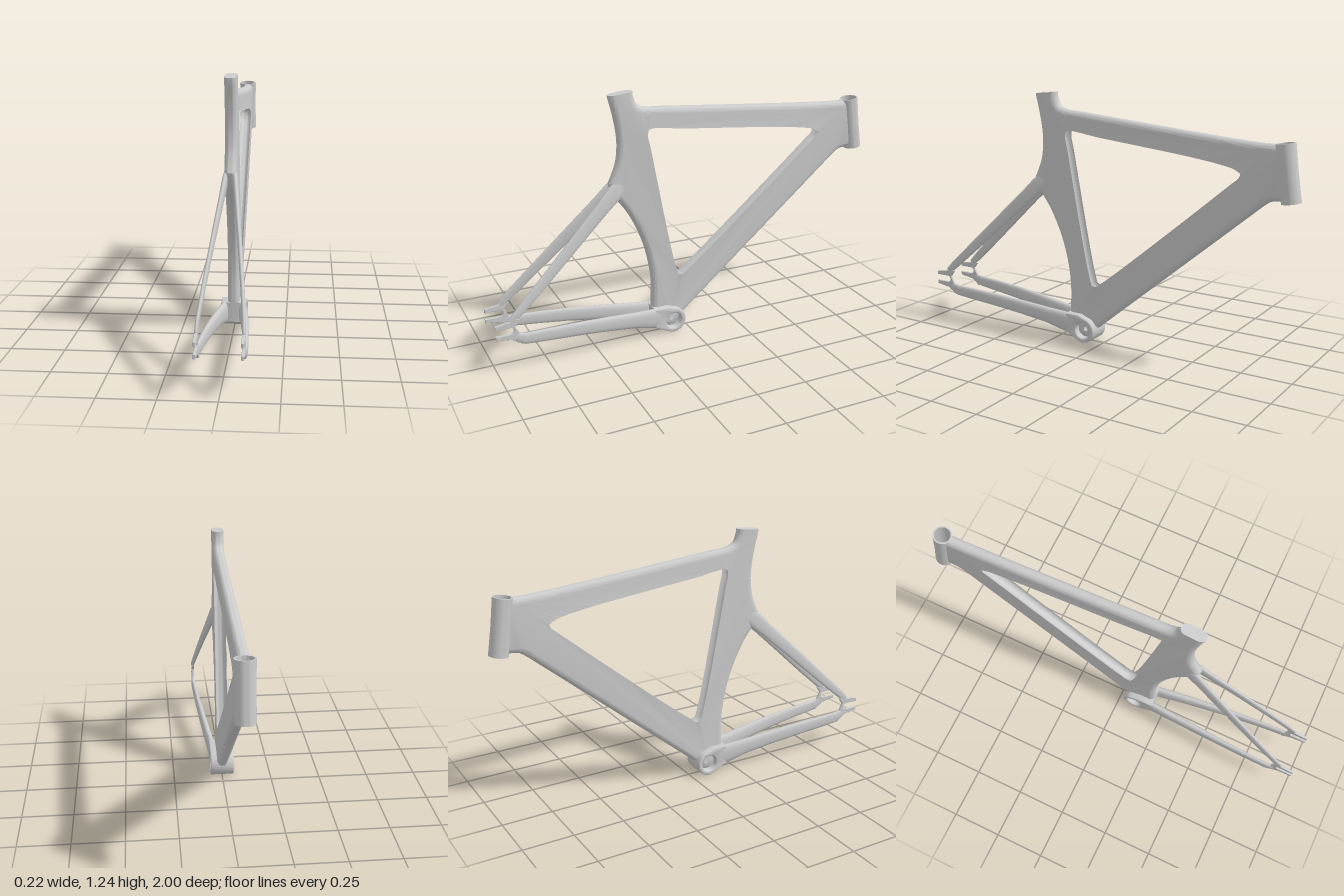
import * as THREE from 'three';
import { toCreasedNormals } from 'three/addons/utils/BufferGeometryUtils.js';

const material = new THREE.MeshStandardMaterial({ color: 0xcccccc, side: THREE.DoubleSide });

// Side-profile points are written as [z, y]; shapes use x = -z
const flat = (pts) => pts.map(([z, y]) => new THREE.Vector2(-z, y));

const smooth = (pts, n, closed = false) =>
  new THREE.CatmullRomCurve3(pts.map(([z, y]) => new THREE.Vector3(-z, y, 0)), closed)
    .getPoints(n).map((p) => new THREE.Vector2(p.x, p.y)).slice(0, closed ? -1 : undefined);

// Extrudes a side profile across x, centred on x = 0
function extrudeSide(shape, halfWidth, bevelX, bevelSize, bevelSegments) {
  const depth = 2 * (halfWidth - bevelX);
  const g = new THREE.ExtrudeGeometry(shape, {
    depth, steps: 1, curveSegments: 40, bevelEnabled: bevelX > 0,
    bevelThickness: bevelX, bevelSize, bevelOffset: -bevelSize, bevelSegments,
  });
  return g.translate(0, 0, -depth / 2).rotateY(Math.PI / 2);
}

function addMesh(parent, name, geometry) {
  const mesh = new THREE.Mesh(geometry, material);
  mesh.name = name;
  parent.add(mesh);
  return mesh;
}

// Oval tube through sections [x, y, z, halfWidth, halfHeight]
function loft(sections, sides = 20) {
  const pos = [], idx = [];
  sections.forEach(([x, y, z, hw, hh], i) => {
    const a = sections[Math.max(i - 1, 0)], b = sections[Math.min(i + 1, sections.length - 1)];
    const len = Math.hypot(b[1] - a[1], b[2] - a[2]);
    const ty = (b[1] - a[1]) / len, tz = (b[2] - a[2]) / len;
    for (let j = 0; j < sides; j++) {
      const t = (j / sides) * Math.PI * 2;
      const c = Math.cos(t), s = Math.sin(t);
      const u = hw * Math.sign(c) * Math.abs(c) ** 0.8, v = hh * Math.sign(s) * Math.abs(s) ** 0.8;
      pos.push(x + u, y + v * tz, z - v * ty);
      if (i < sections.length - 1) {
        const p = i * sides + j, q = i * sides + (j + 1) % sides;
        idx.push(p, q, p + sides, q, q + sides, p + sides);
      }
    }
  });
  const g = new THREE.BufferGeometry();
  g.setAttribute('position', new THREE.Float32BufferAttribute(pos, 3));
  g.setIndex(idx);
  g.computeVertexNormals();
  return g;
}

// Head tube axis and bottom bracket centre
const HEAD = { y: 0.957, z: -0.9385, r: 0.045, slope: 0.143 };
const BB = { y: 0.066, z: 0.09, bore: 0.041, r: 0.064 };

const boreHole = () => new THREE.Path().absarc(-BB.z, BB.y, BB.bore, 0, Math.PI * 2, true);

// Seat tube, top tube and down tube as one moulded body
function mainBody() {
  const outline = [
    ...flat([[0.39, 1.29], [0.27, 1.29], [0.269, 1.23]]),
    ...smooth([[0.265, 1.215], [0.25, 1.185], [0.215, 1.168], [0.1, 1.157], [-0.61, 1.095], [-0.8, 1.082], [-0.87, 1.08]], 30),
    ...flat([[-0.99, 1.08], [-0.99, 0.832]]),
    ...smooth([[-0.9, 0.83], [-0.87, 0.826], [-0.84, 0.808], [-0.78, 0.758]], 8),
    ...flat([[0.035, 0.07], [0.06, 0.012], [0.12, 0.012], [0.19, 0.05]]),
    ...smooth([[0.19, 0.145], [0.19, 0.30], [0.22, 0.46], [0.265, 0.58], [0.32, 0.68], [0.375, 0.75]], 18),
    ...smooth([[0.40, 0.815], [0.375, 0.87], [0.357, 0.925], [0.35, 1.02], [0.365, 1.127], [0.389, 1.225]], 18),
  ];
  const opening = smooth([
    [0.195, 1.093], [0.0, 1.073], [-0.61, 1.005], [-0.715, 0.98], [-0.755, 0.947], [-0.745, 0.905],
    [-0.69, 0.855], [-0.02, 0.295], [0.024, 0.268], [0.07, 0.277], [0.092, 0.326], [0.222, 0.967],
    [0.235, 1.03], [0.225, 1.075],
  ], 120, true);
  const shape = new THREE.Shape(outline);
  shape.holes.push(new THREE.Path(opening), boreHole());
  const g = extrudeSide(shape, 0.028, 0.026, 0.03, 7);

  // Trim the front end against the head tube and the seat tube top to a plane
  const p = g.attributes.position;
  for (let i = 0; i < p.count; i++) {
    const x = p.getX(i), y = p.getY(i), z = p.getZ(i);
    const axisZ = HEAD.z + (y - HEAD.y) * HEAD.slope;
    p.setZ(i, Math.max(z, axisZ + Math.sqrt(0.042 ** 2 - x * x)));
    p.setY(i, Math.min(y, 1.247 - 0.1 * Math.max(0, z - 0.28)));
  }
  return toCreasedNormals(g, 0.7);
}

function headTube() {
  const h = 0.131, r = HEAD.r, b = 0.038;
  const profile = [[b, -h], [r, -h], [r - 0.002, 0], [r, h], [b, h], [b, -h]];
  const g = new THREE.LatheGeometry(profile.map(([x, y]) => new THREE.Vector2(x, y)), 40);
  return toCreasedNormals(g, 0.7);
}

// Bored shell with a rear block that carries the chain stays
function bottomBracket() {
  const shape = new THREE.Shape();
  shape.absarc(-BB.z, BB.y, BB.r, -Math.PI * 0.6, Math.PI * 0.45);
  flat([[0.115, 0.143], [0.19, 0.142], [0.19, 0.045]]).forEach((v) => shape.lineTo(v.x, v.y));
  shape.holes.push(boreHole());
  return toCreasedNormals(extrudeSide(shape, 0.06, 0.006, 0.006, 3), 0.7);
}

// Thin slotted plate that holds the axle
function dropout() {
  const shape = new THREE.Shape(flat([
    [0.90, 0.275], [0.935, 0.262], [1.0, 0.252], [1.0, 0.233], [0.925, 0.233], [0.914, 0.226],
    [0.914, 0.208], [0.925, 0.2], [1.0, 0.2], [1.0, 0.181], [0.925, 0.171], [0.875, 0.137],
    [0.865, 0.185], [0.885, 0.195], [0.907, 0.235], [0.885, 0.265],
  ]));
  return toCreasedNormals(extrudeSide(shape, 0.0065, 0.002, 0.002, 1), 0.5);
}

export function createModel() {
  const frame = new THREE.Group();
  frame.name = 'bicycleFrame';

  addMesh(frame, 'mainTriangle', mainBody());
  const head = addMesh(frame, 'headTube', headTube());
  head.position.set(0, HEAD.y, HEAD.z);
  head.rotation.x = Math.atan(HEAD.slope);
  addMesh(frame, 'bottomBracketShell', bottomBracket());

  // Mirrored rear stays and dropouts
  for (const s of [1, -1]) {
    const side = s > 0 ? 'left' : 'right';
    addMesh(frame, side + 'SeatStay', loft([
      [s * 0.012, 0.83, 0.315, 0.010, 0.03],
      [s * 0.023, 0.778, 0.372, 0.013, 0.041],
      [s * 0.033, 0.715, 0.44, 0.012, 0.035],
      [s * 0.058, 0.56, 0.605, 0.010, 0.03],
      [s * 0.082, 0.40, 0.775, 0.009, 0.025],
      [s * 0.095, 0.30, 0.883, 0.008, 0.021],
      [s * 0.097, 0.262, 0.923, 0.007, 0.017],
      [s * 0.097, 0.256, 0.929, 0.0005, 0.001],
    ]));
    addMesh(frame, side + 'ChainStay', loft([
      [s * 0.040, 0.085, 0.145, 0.018, 0.052],
      [s * 0.046, 0.094, 0.20, 0.019, 0.051],
      [s * 0.057, 0.112, 0.30, 0.019, 0.041],
      [s * 0.071, 0.131, 0.45, 0.017, 0.037],
      [s * 0.084, 0.146, 0.60, 0.014, 0.034],
      [s * 0.094, 0.157, 0.75, 0.012, 0.031],
      [s * 0.099, 0.164, 0.86, 0.011, 0.028],
      [s * 0.098, 0.180, 0.90, 0.009, 0.02],
      [s * 0.097, 0.188, 0.918, 0.0005, 0.001],
    ]));
    addMesh(frame, side + 'Dropout', dropout()).position.x = s * 0.097;
  }
  return frame;
}
